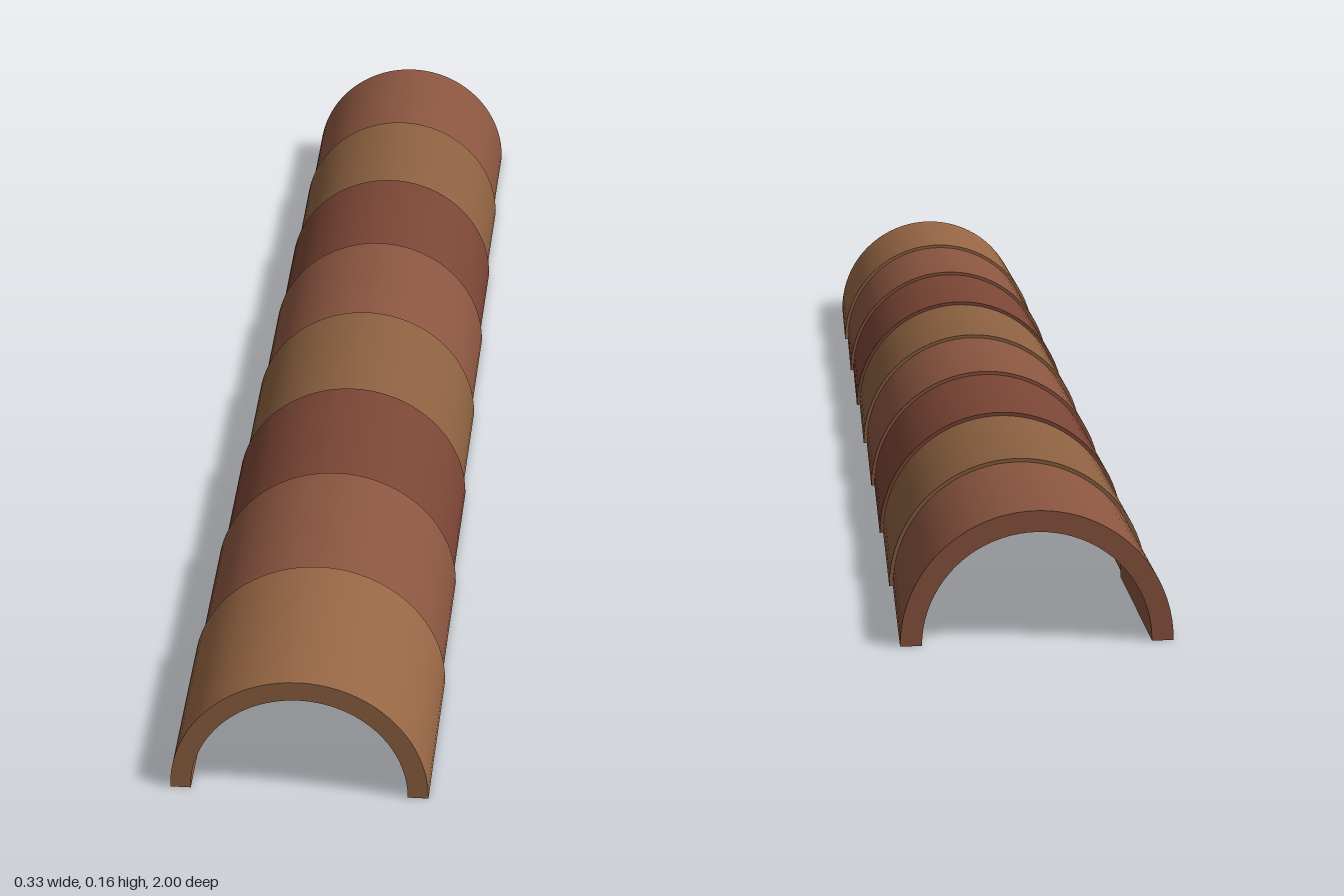
import * as THREE from 'three';
import { toCreasedNormals } from 'three/addons/utils/BufferGeometryUtils.js';

const TILES = 8;
const PITCH = 0.248;
const LENGTH = 0.264;
const OUTER = 0.163; // radii at the wide (rear) end
const INNER = 0.137;
const TAPER = 0.97; // scale at the narrow (front) end

// Half-round barrel tile, tapering from z = 0 to z = LENGTH
function tileGeometry() {
  const arch = new THREE.Shape();
  arch.absarc(0, 0, OUTER, 0, Math.PI, false);
  arch.absarc(0, 0, INNER, Math.PI, 0, true);
  arch.closePath();
  const geo = new THREE.ExtrudeGeometry(arch, { depth: LENGTH, bevelEnabled: false, curveSegments: 20 });
  const p = geo.attributes.position;
  for (let i = 0; i < p.count; i++) {
    const s = THREE.MathUtils.lerp(1, TAPER, p.getZ(i) / LENGTH);
    p.setXY(i, p.getX(i) * s, p.getY(i) * s);
  }
  return toCreasedNormals(geo, 0.6);
}

export function createModel() {
  const group = new THREE.Group();
  group.name = 'ridgeTileRow';
  const geo = tileGeometry();

  // Fired-clay shades, repeating along the row
  const clay = [0x8a5540, 0x8b6040, 0x7a4535].map((color) => new THREE.MeshStandardMaterial({ color }));
  const paleClay = new THREE.MeshStandardMaterial({ color: 0x966644 });

  // Overlapping tiles from back to front
  for (let i = 0; i < TILES; i++) {
    const tile = new THREE.Mesh(geo, i === TILES - 1 ? paleClay : clay[i % 3]);
    tile.name = `ridgeTile${i + 1}`;
    tile.position.z = -1 + i * PITCH;
    group.add(tile);
  }
  return group;
}
